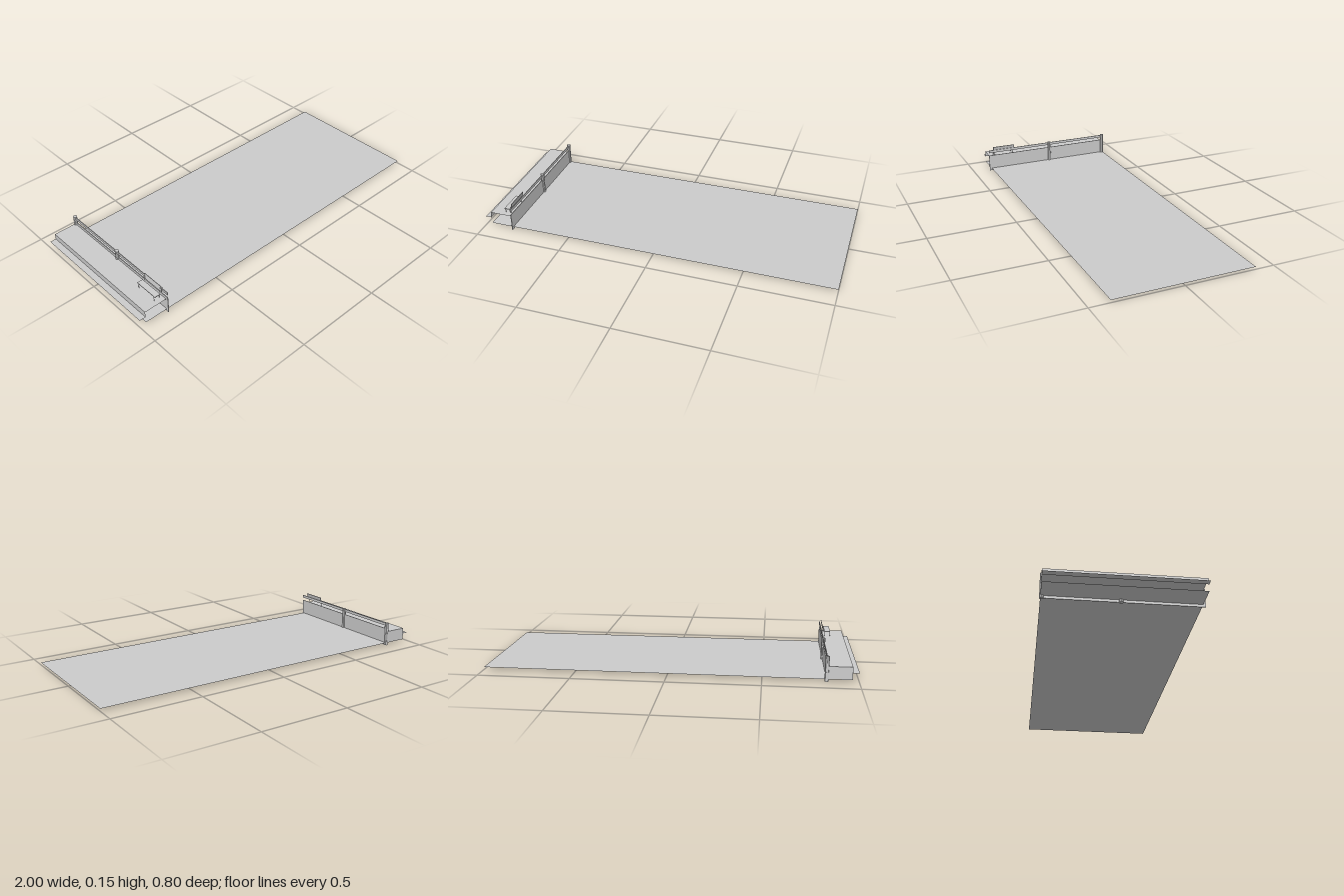
import * as THREE from 'three';

const grey = new THREE.MeshStandardMaterial({ color: 0xcccccc, flatShading: true, side: THREE.DoubleSide });

function add(parent, name, geometry, x = 0, y = 0, z = 0) {
  const mesh = new THREE.Mesh(geometry, grey);
  mesh.name = name;
  mesh.position.set(x, y, z);
  parent.add(mesh);
  return mesh;
}

// Thin horizontal sheet between two x and two z limits
function sheet(parent, name, x0, x1, y, z0, z1) {
  const g = new THREE.PlaneGeometry(x1 - x0, z1 - z0).rotateX(-Math.PI / 2);
  return add(parent, name, g, (x0 + x1) / 2, y, (z0 + z1) / 2);
}

// Thin vertical sheet running along z
function upright(parent, name, x, y0, y1, z0, z1) {
  const g = new THREE.PlaneGeometry(z1 - z0, y1 - y0).rotateY(Math.PI / 2);
  return add(parent, name, g, x, (y0 + y1) / 2, (z0 + z1) / 2);
}

function createBench() {
  const bench = new THREE.Group();
  bench.name = 'bench';
  const zMid = 0.298, length = 0.14;
  add(bench, 'benchSeat', new THREE.BoxGeometry(0.033, 0.004, length), -0.87, 0.113, zMid);
  const back = add(bench, 'benchBackrest', new THREE.BoxGeometry(0.003, 0.028, length), -0.842, 0.137, zMid);
  back.rotation.z = -0.2;

  // Bent frames: front foot, seat bearer and back support in one piece
  const bends = [[-0.885, 0.083], [-0.885, 0.112], [-0.85, 0.112], [-0.841, 0.148]];
  for (const z of [0.237, 0.357]) {
    const path = new THREE.CurvePath();
    for (let i = 1; i < bends.length; i++) {
      path.add(new THREE.LineCurve3(
        new THREE.Vector3(...bends[i - 1], 0), new THREE.Vector3(...bends[i], 0)));
    }
    add(bench, 'benchFrame', new THREE.TubeGeometry(path, 24, 0.0013, 4), 0, 0, z);
    // Rear leg
    add(bench, 'benchRearLeg', new THREE.BoxGeometry(0.0025, 0.03, 0.0025), -0.853, 0.098, z);
  }
  return bench;
}

export function createModel() {
  const model = new THREE.Group();
  model.name = 'promenade';
  const zBack = -0.395, zFront = 0.388;
  const wallX = -0.833, kerbX = -0.965;
  const groundY = 0.014, walkY = 0.083, roadY = 0.05;

  // Broad ground, raised walkway and the lower strip behind it
  sheet(model, 'ground', kerbX, 1, groundY, zBack, zFront);
  sheet(model, 'walkway', kerbX, wallX, walkY, zBack, zFront);
  upright(model, 'kerb', kerbX, roadY, walkY, zBack, zFront);
  sheet(model, 'roadStrip', -1, kerbX, roadY, zBack, zFront);

  // Closed rear end of the walkway
  add(model, 'walkwayEnd', new THREE.PlaneGeometry(wallX - kerbX, walkY - groundY).rotateY(Math.PI),
    (wallX + kerbX) / 2, (walkY + groundY) / 2, zBack);

  // Retaining wall
  add(model, 'wall', new THREE.BoxGeometry(0.004, 0.1, 0.8), wallX, 0.05, 0);

  // Railing
  add(model, 'rail', new THREE.BoxGeometry(0.004, 0.016, 0.79), wallX, 0.125, 0.005);
  for (const z of [-0.0105, -0.389]) {
    add(model, 'railPost', new THREE.CylinderGeometry(0.011, 0.011, 0.135, 8), wallX, 0.0685, z);
  }

  model.add(createBench());
  return model;
}
